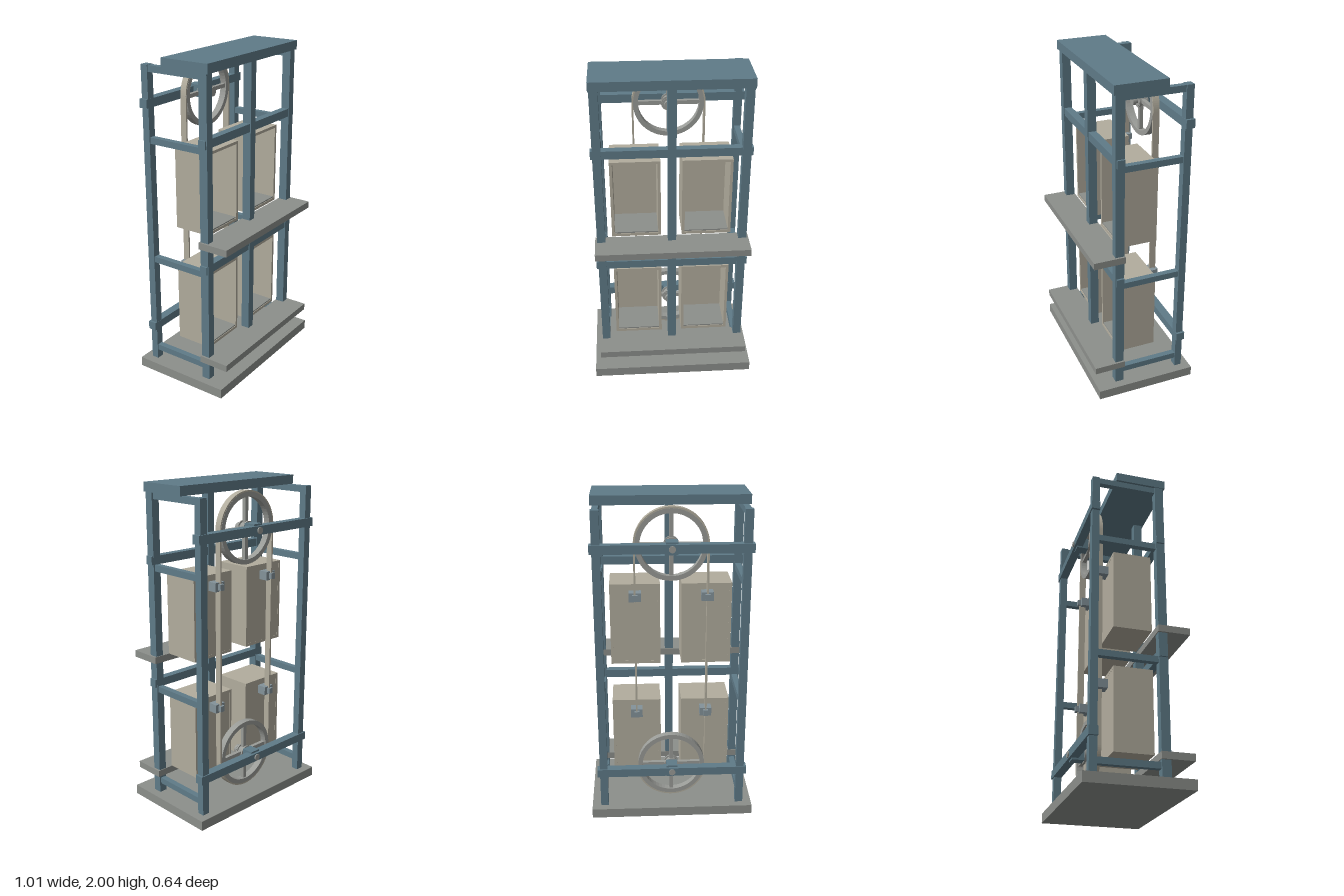
import * as THREE from 'three';

const BLUE = new THREE.MeshStandardMaterial({ color: 0x5f7b88 });
const STONE = new THREE.MeshStandardMaterial({ color: 0x8c8f8b });
const CABIN = new THREE.MeshStandardMaterial({ color: 0xb2ad9e });
const METAL = new THREE.MeshStandardMaterial({ color: 0x9a9c98 });
const FITTING = new THREE.MeshStandardMaterial({ color: 0x84939a });

function add(parent, name, geometry, material) {
  const mesh = new THREE.Mesh(geometry, material);
  mesh.name = name;
  parent.add(mesh);
  return mesh;
}

// Box given by its extents on each axis
function box(parent, name, [x0, x1], [y0, y1], [z0, z1], material) {
  const mesh = add(parent, name, new THREE.BoxGeometry(x1 - x0, y1 - y0, z1 - z0), material);
  mesh.position.set((x0 + x1) / 2, (y0 + y1) / 2, (z0 + z1) / 2);
  return mesh;
}

// Cylinder lying along z
function rod(parent, name, r, z0, z1, material) {
  const g = new THREE.CylinderGeometry(r, r, z1 - z0, 24).rotateX(Math.PI / 2);
  const mesh = add(parent, name, g, material);
  mesh.position.z = (z0 + z1) / 2;
  return mesh;
}

// Flat outline extruded from z0 to z1
function plate(parent, name, shape, z0, z1, material) {
  const g = new THREE.ExtrudeGeometry(shape, { depth: z1 - z0, bevelEnabled: false, curveSegments: 28 });
  const mesh = add(parent, name, g, material);
  mesh.position.z = z0;
  return mesh;
}

function rect(target, x0, y0, x1, y1) {
  target.moveTo(x0, y0).lineTo(x1, y0).lineTo(x1, y1).lineTo(x0, y1).closePath();
  return target;
}

const WHEEL_Y = [0.295, 1.727];
const WHEEL_Z = -0.161;

function buildFrame() {
  const frame = new THREE.Group();
  frame.name = 'frame';
  box(frame, 'base', [-0.506, 0.506], [0, 0.06], [-0.32, 0.308], STONE);
  box(frame, 'roof', [-0.46, 0.46], [1.945, 2], [-0.12, 0.195], BLUE);
  // Uprights
  for (const x of [-0.43, 0, 0.43]) {
    box(frame, 'frontPost', [x - 0.025, x + 0.025], [0.06, 1.945], [0.13, 0.184], BLUE);
  }
  for (const x of [-0.428, 0.428]) {
    box(frame, 'rearPost', [x - 0.024, x + 0.024], [0.06, 1.947], [-0.272, -0.227], BLUE);
    // Rails joining front and rear
    for (const y of [0.139, 0.758, 1.511, 1.926]) {
      box(frame, 'sideRail', [x - 0.018, x + 0.018], [y - 0.019, y + 0.019], [-0.255, 0.135], BLUE);
    }
  }
  // Cross beams
  for (const y of [0.797, 1.555]) {
    box(frame, 'frontBeam', [-0.467, 0.467], [y - 0.025, y + 0.025], [0.132, 0.179], BLUE);
  }
  for (const y of WHEEL_Y) {
    box(frame, 'rearBeam', [-0.467, 0.467], [y - 0.026, y + 0.026], [-0.279, -0.226], BLUE);
  }
  // Landings
  for (const y of [0.192, 0.948]) {
    box(frame, 'landing', [-0.467, 0.467], [y - 0.021, y + 0.021], [0.125, 0.32], STONE);
  }
  return frame;
}

function buildWheel(y) {
  const wheel = new THREE.Group();
  wheel.name = 'wheel';
  wheel.position.y = y;
  // Rim
  const rim = new THREE.Shape().absarc(0, 0, 0.211, 0, Math.PI * 2);
  rim.holes.push(new THREE.Path().absarc(0, 0, 0.183, 0, Math.PI * 2, true));
  plate(wheel, 'rim', rim, WHEEL_Z - 0.021, WHEEL_Z + 0.021, METAL);
  // Spokes
  for (let i = 0; i < 4; i++) {
    const spoke = add(wheel, 'spoke', new THREE.BoxGeometry(0.17, 0.024, 0.024).translate(0.105, 0, 0), METAL);
    spoke.position.z = WHEEL_Z;
    spoke.rotation.z = i * Math.PI / 2;
  }
  // Hub, axle and bearing
  rod(wheel, 'hub', 0.036, -0.186, -0.136, METAL);
  rod(wheel, 'hubFlange', 0.045, -0.19, -0.181, METAL);
  rod(wheel, 'hubFlange', 0.045, -0.147, -0.138, METAL);
  rod(wheel, 'axle', 0.02, -0.286, -0.105, METAL);
  rod(wheel, 'axleCap', 0.028, -0.122, -0.104, METAL);
  box(wheel, 'bearingBlock', [-0.034, 0.034], [-0.037, 0.037], [-0.264, -0.19], BLUE);
  return wheel;
}

// Loop outline running round both wheels
function loop(target, r) {
  const [low, high] = WHEEL_Y;
  target.moveTo(r, low).lineTo(r, high);
  target.absarc(0, high, r, 0, Math.PI, false);
  target.lineTo(-r, low);
  target.absarc(0, low, r, Math.PI, Math.PI * 2, false);
  return target;
}

function buildCabin(x, y) {
  const cabin = new THREE.Group();
  cabin.name = 'cabin';
  cabin.position.set(x, y, 0);
  // Open-fronted shell
  const shell = rect(new THREE.Shape(), -0.15, 0, 0.15, 0.506);
  shell.holes.push(rect(new THREE.Path(), -0.133, 0.018, 0.133, 0.489));
  plate(cabin, 'shell', shell, -0.114, 0.122, CABIN);
  box(cabin, 'backPanel', [-0.14, 0.14], [0.01, 0.496], [-0.113, -0.097], CABIN);
  box(cabin, 'floor', [-0.133, 0.133], [0.016, 0.026], [-0.1, 0.118], STONE);
  // Belt hanger
  box(cabin, 'hangerBlock', [-0.036, 0.036], [0.414, 0.468], [-0.173, -0.113], FITTING);
  box(cabin, 'hangerClamp', [-0.015, 0.015], [0.423, 0.459], [-0.194, -0.17], FITTING);
  return cabin;
}

export function createModel() {
  const model = new THREE.Group();
  model.name = 'cabinLift';
  model.add(buildFrame());
  for (const y of WHEEL_Y) model.add(buildWheel(y));

  // Belt
  const belt = loop(new THREE.Shape(), 0.22);
  belt.holes.push(loop(new THREE.Path(), 0.209));
  plate(model, 'belt', belt, WHEEL_Z - 0.02, WHEEL_Z + 0.02, CABIN);

  for (const x of [-0.214, 0.214]) {
    for (const y of [0.218, 0.972]) model.add(buildCabin(x, y));
  }
  return model;
}
